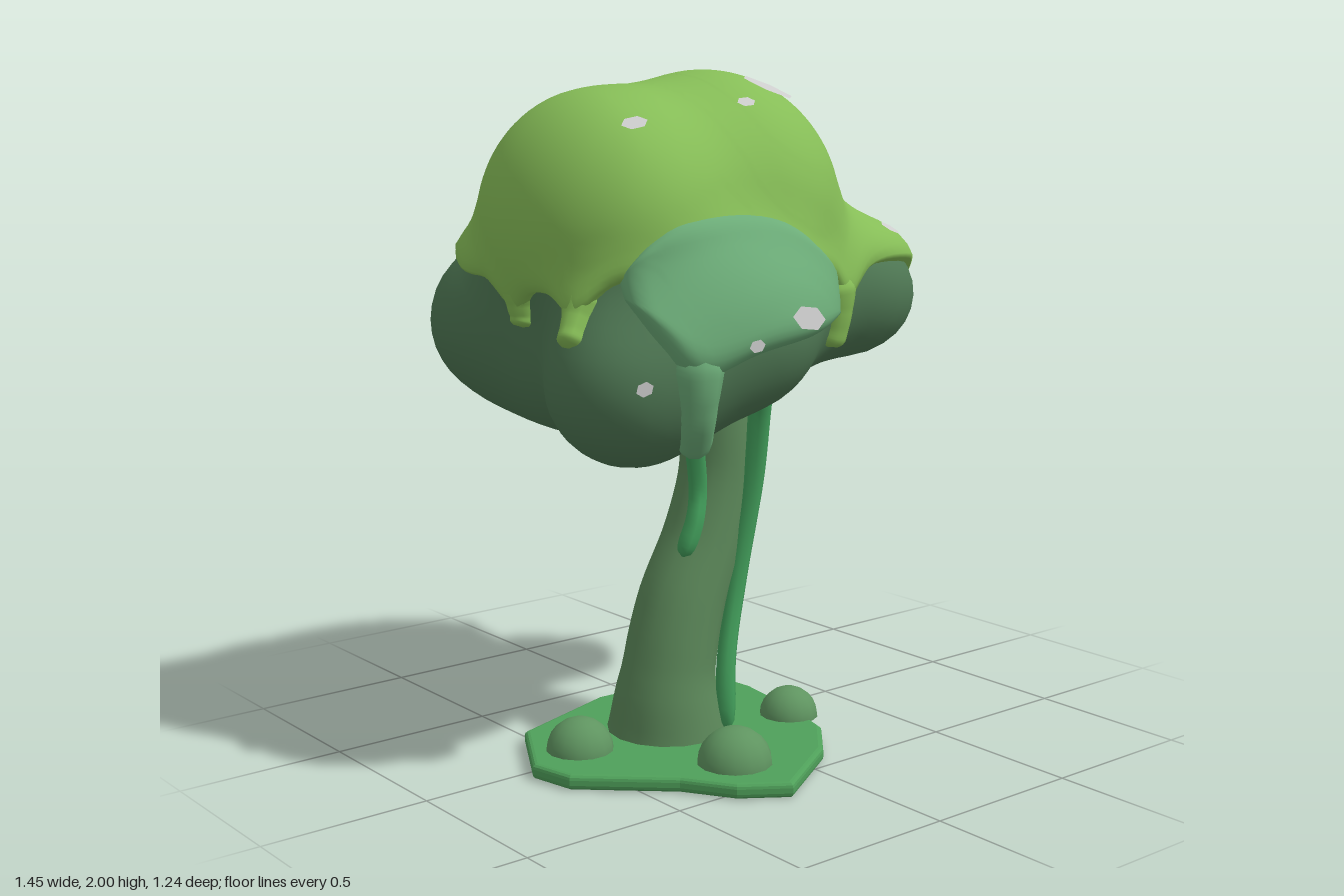
import * as THREE from 'three';
import { mergeVertices } from 'three/addons/utils/BufferGeometryUtils.js';

const V = (x, y, z) => new THREE.Vector3(x, y, z);
const CENTRE = V(-0.1, 1.4, 0);
const BLEND = 0.18;

// Foliage lobes: centre xyz, radii xyz
const LOBES = [
  [-0.03, 1.58, 0.02, 0.355, 0.378, 0.375], [-0.4, 1.56, 0.02, 0.28, 0.35, 0.37],
  [0.48, 1.32, 0.1, 0.21, 0.19, 0.2], [0.25, 1.37, 0.1, 0.22, 0.18, 0.21],
  [0.23, 1.29, -0.36, 0.25, 0.23, 0.23], [-0.04, 1.32, -0.36, 0.24, 0.21, 0.22],
  [-0.44, 1.27, -0.33, 0.27, 0.25, 0.26], [-0.47, 1.16, 0.26, 0.25, 0.24, 0.23],
  [-0.18, 1.28, 0.32, 0.27, 0.23, 0.22], [-0.08, 1.26, 0, 0.42, 0.23, 0.35],
  [-0.33, 1.15, -0.12, 0.25, 0.19, 0.22],
];

// Smooth union of the lobes as a distance function
function field(p) {
  let d = 10;
  for (const [x, y, z, a, b, c] of LOBES) {
    const X = (p.x - x) / a, Y = (p.y - y) / b, Z = (p.z - z) / c;
    const k0 = Math.hypot(X, Y, Z), k1 = Math.hypot(X / a, Y / b, Z / c) || 1;
    const e = k0 * (k0 - 1) / k1;
    const h = Math.max(BLEND - Math.abs(d - e), 0) / BLEND;
    d = Math.min(d, e) - h * h * BLEND / 4;
  }
  return d;
}

// Distance from origin along dir to the outermost foliage surface
function reach(origin, dir) {
  let t = 1.3;
  for (let i = 0; i < 60 && t > 0.02; i++) {
    const d = field(origin.clone().addScaledVector(dir, t));
    if (d < 0.001) break;
    t -= d * 0.7;
  }
  return Math.max(t, 0.02);
}

function normalAt(p) {
  const e = 0.01, f = (x, y, z) => field(V(p.x + x, p.y + y, p.z + z));
  return V(f(e, 0, 0) - f(-e, 0, 0), f(0, e, 0) - f(0, -e, 0), f(0, 0, e) - f(0, 0, -e)).normalize();
}

function onSurface(origin, dir, offset) {
  const p = origin.clone().addScaledVector(dir, reach(origin, dir));
  return p.addScaledVector(normalAt(p), offset);
}

// Smooth surface from a function of u and v
function surface(nu, nv, fn) {
  const pos = [], index = [];
  for (let j = 0; j <= nv; j++) for (let i = 0; i <= nu; i++) pos.push(...fn(i / nu, j / nv).toArray());
  for (let j = 0; j < nv; j++) for (let i = 0; i < nu; i++) {
    const a = j * (nu + 1) + i, b = a + nu + 1;
    index.push(a, a + 1, b, a + 1, b + 1, b);
  }
  const g = new THREE.BufferGeometry();
  g.setAttribute('position', new THREE.Float32BufferAttribute(pos, 3));
  g.setIndex(index);
  const merged = mergeVertices(g, 1e-4);
  merged.computeVertexNormals();
  return merged;
}

// Tube of varying radius with a rounded end
function taper(points, radii, sides = 10, steps = 26) {
  const curve = new THREE.CatmullRomCurve3(points);
  const fr = curve.computeFrenetFrames(steps);
  return surface(sides, steps, (u, v) => {
    const k = Math.round(v * steps), s = v * (radii.length - 1);
    const i = Math.min(Math.floor(s), radii.length - 2);
    let r = THREE.MathUtils.lerp(radii[i], radii[i + 1], s - i);
    if (v > 0.86) r *= Math.sqrt(Math.max(0, 1 - ((v - 0.86) / 0.14) ** 2));
    const a = (u % 1) * Math.PI * 2;
    return curve.getPointAt(v).addScaledVector(fr.normals[k], r * Math.cos(a))
      .addScaledVector(fr.binormals[k], r * Math.sin(a));
  });
}

const direction = (th, ph) => V(Math.sin(th) * Math.cos(ph), Math.cos(th), Math.sin(th) * Math.sin(ph));
const azimuth = (x, z) => Math.atan2(z - CENTRE.z, x - CENTRE.x);

// Drips: x, z, tip height, radius
const DRIPS = [
  [0.72, 0.05, 1.13, 0.055], [0.23, 0.37, 1.2, 0.052], [-0.64, 0.25, 1.27, 0.045],
  [0.47, -0.42, 1.25, 0.05], [-0.1, -0.57, 1.25, 0.05], [-0.69, -0.03, 1.29, 0.045],
];
// Waves of the cap's lower edge: x, z, width, change of angle
const WAVES = [
  [-0.25, 0.5, 0.5, -0.2], [-0.66, -0.4, 0.17, -0.09],
  ...DRIPS.map(([x, z]) => [x, z, 0.12, 0.14]),
];

function capEdge(ph) {
  return WAVES.reduce((t, [x, z, w, amp]) => {
    const d = ph - azimuth(x, z), near = Math.atan2(Math.sin(d), Math.cos(d));
    return t + amp * Math.exp(-((near / w) ** 2));
  }, 1.54 + 0.02 * Math.sin(ph * 9));
}

// A drip that runs down the foliage
function drip(x, z, top, tip, r, hang) {
  const dir = direction(Math.PI / 2, azimuth(x, z)), pts = [];
  let first = 0;
  for (let i = 0; i < 5; i++) {
    const s = i / 4, o = V(CENTRE.x, top + (tip - top) * s, CENTRE.z);
    const d = reach(o, dir);
    if (!i) first = d;
    pts.push(o.addScaledVector(dir, Math.max(d, first * (1 - (1 - hang) * s * s)) - 0.03 * (1 - s)));
  }
  return taper(pts, [r, r * 1.35, r * 1.05, r * 0.9, r * 0.9]);
}

export function createModel() {
  const root = new THREE.Group();
  const mats = {};
  const add = (name, geo, color) => {
    mats[color] ??= new THREE.MeshStandardMaterial({ color, side: THREE.DoubleSide });
    const m = new THREE.Mesh(geo, mats[color]);
    m.name = name;
    root.add(m);
    return m;
  };
  const BARK = 0x5b8759, LEAF = 0x4f7854, LIME = 0x86bd57, TEAL = 0x6cac78, VINE = 0x43a05c;

  // Foliage
  add('foliage', surface(96, 56, (u, v) =>
    onSurface(CENTRE, direction(v * Math.PI, (u % 1) * Math.PI * 2), 0)), LEAF);

  // Slime cap with a rounded, wavy rim
  add('slimeCap', surface(150, 44, (u, v) => {
    const ph = (u % 1) * Math.PI * 2, rim = Math.max(0, (v - 0.9) / 0.1);
    const th = capEdge(ph) * Math.min(1, v * 1.04);
    return onSurface(CENTRE, direction(th, ph), 0.06 * Math.sqrt(Math.max(0, 1 - rim * rim)) - 0.02);
  }), LIME);
  for (const [x, z, tip, r] of DRIPS) add('slimeDrip', drip(x, z, 1.42, tip, r, 0.94), LIME);

  // Second slime patch on the front
  const profile = (pts) => new THREE.SplineCurve(pts.map(([x, y]) => new THREE.Vector2(x, y)));
  const upper = profile([[-0.57, 1.43], [-0.49, 1.57], [-0.38, 1.63], [-0.1, 1.61], [0.05, 1.5], [0.15, 1.36]]);
  const lower = profile([[-0.57, 1.4], [-0.53, 1.28], [-0.44, 1.18], [-0.25, 1.24], [0, 1.28], [0.15, 1.33]]);
  add('slimePatch', surface(48, 24, (u, v) => {
    const q = lower.getPoint(u).lerp(upper.getPoint(u), v);
    const edge = Math.min(1, 5 * Math.min(u, 1 - u, v, 1 - v));
    return onSurface(V(q.x, q.y, 0), V(0, 0, 1), 0.08 * Math.sqrt(edge * (2 - edge)) - 0.025);
  }), TEAL);
  add('patchDrip', drip(-0.45, 0.52, 1.3, 0.97, 0.055, 0.8), TEAL);

  // Pale glints: x, y, z, width, height, lift
  const GLINTS = [
    [0.08, 1.95, 0.18, 0.12, 0.05, 0.041], [-0.46, 1.83, 0.25, 0.04, 0.025, 0.041],
    [-0.07, 1.92, 0.27, 0.03, 0.02, 0.041], [0.59, 1.5, 0.23, 0.05, 0.025, 0.042],
    [-0.13, 1.32, 0.57, 0.07, 0.035, 0.058], [-0.57, 1.18, 0.45, 0.025, 0.02, 0.005],
    [-0.3, 1.27, 0.55, 0.025, 0.018, 0.058],
  ];
  for (const [x, y, z, w, h, lift] of GLINTS) {
    const p = onSurface(CENTRE, V(x, y, z).sub(CENTRE).normalize(), 0);
    const n = normalAt(p);
    const m = add('glint', new THREE.CircleGeometry(1, 6), 0xcccccc);
    m.scale.set(w, h, 1);
    m.up.set(0, 1, -1);
    m.position.copy(p).addScaledVector(n, lift);
    m.lookAt(m.position.clone().add(n));
  }

  // Curved trunk
  add('trunk', taper([V(-0.18, 0.03, 0.04), V(-0.19, 0.2, 0.05), V(-0.14, 0.42, 0.05),
    V(-0.05, 0.62, 0.05), V(0, 0.82, 0.05), V(-0.01, 1.02, 0.05), V(-0.03, 1.2, 0.04)],
  [0.19, 0.14, 0.133, 0.125, 0.115, 0.11, 0.11], 16, 32), BARK);

  // Vines along the trunk
  const vine = (pts) => add('vine', taper(pts.map((p) => V(...p)), [0.036, 0.03, 0.028, 0.032], 7), VINE);
  vine([[0.02, 1.07, 0.23], [0.03, 1, 0.21], [0.035, 0.8, 0.18], [-0.01, 0.5, 0.16], [-0.07, 0.25, 0.18], [-0.08, 0.04, 0.2]]);
  vine([[-0.18, 1.03, 0.15], [-0.15, 0.93, 0.13], [-0.12, 0.78, 0.11], [-0.14, 0.69, 0.12], [-0.18, 0.58, 0.11]]);
  vine([[0, 1.07, -0.07], [0.01, 0.9, -0.06], [0, 0.7, -0.06], [-0.08, 0.4, -0.07], [-0.14, 0.2, -0.09], [-0.13, 0.04, -0.14]]);

  // Slime puddle, open under the trunk
  const outline = [[0.245, -0.28], [0.265, -0.1], [0.23, 0.15], [0.18, 0.33], [0.06, 0.47], [-0.2, 0.63], [-0.33, 0.54],
    [-0.42, 0.4], [-0.65, 0.19], [-0.68, 0.05], [-0.54, -0.2], [-0.18, -0.32], [0.05, -0.31]];
  const shape = new THREE.Shape(outline.map(([x, z]) => new THREE.Vector2(x, -z)));
  shape.holes.push(new THREE.Path().absarc(-0.18, -0.04, 0.18, 0, Math.PI * 2, true));
  const puddle = new THREE.ExtrudeGeometry(shape,
    { depth: 0.015, bevelThickness: 0.015, bevelSize: 0.015, bevelOffset: -0.015, bevelSegments: 3 });
  puddle.rotateX(-Math.PI / 2).translate(0, 0.015, 0);
  add('puddle', puddle, 0x4fa05a);

  // Bubbles on the puddle
  for (const [x, z, r] of [[-0.5, 0.03, 0.1], [-0.22, 0.4, 0.11], [0.18, 0.18, 0.09]]) {
    const bubble = new THREE.SphereGeometry(r, 14, 6, 0, Math.PI * 2, 0, Math.PI / 2);
    add('bubble', bubble, 0x5f9460).position.set(x, 0.04, z);
  }
  return root;
}
